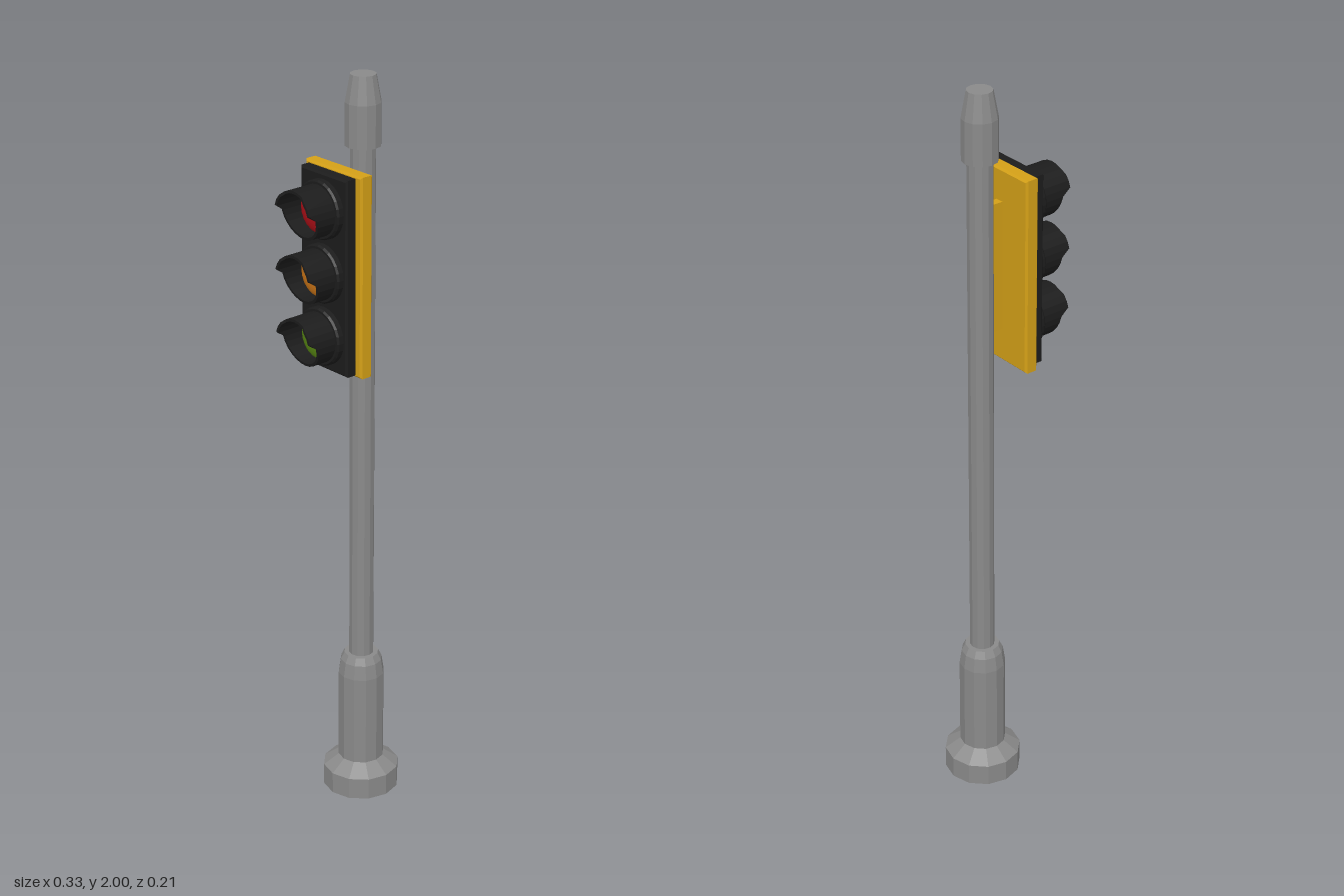
import * as THREE from 'three';

const mat = (color) => new THREE.MeshStandardMaterial({ color, flatShading: true });
const steel = mat(0x8a8a8a);
const yellow = mat(0xd4a017);
const black = mat(0x1c1c1c);

function add(parent, name, geometry, material) {
  const mesh = new THREE.Mesh(geometry, material);
  mesh.name = name;
  parent.add(mesh);
  return mesh;
}

const lathe = (pts, sides) =>
  new THREE.LatheGeometry(pts.map(([r, y]) => new THREE.Vector2(r, y)), sides);

// Bevelled plate in the YZ plane, growing from x0 towards -x
function plate(width, height, depth, bevel, x0, y) {
  const w = width / 2 - bevel, h = height / 2 - bevel;
  const shape = new THREE.Shape([[-w, -h], [w, -h], [w, h], [-w, h]].map(([a, b]) => new THREE.Vector2(a, b)));
  const g = new THREE.ExtrudeGeometry(shape, {
    depth: depth - 2 * bevel, bevelEnabled: true, bevelSize: bevel, bevelThickness: bevel, bevelSegments: 1,
  });
  return g.translate(0, 0, bevel).rotateY(-Math.PI / 2).translate(x0, y, 0);
}

// Front edge of the visor: long hood on top, notched back at the middle, short below
function visorEdge(y) {
  if (y > 0.05) return 0.098;
  if (y > 0.005) return 0.103;
  return 0.079 + 0.24 * Math.min(0, y);
}

function visorGeometry() {
  const g = lathe([[0.066, 0.015], [0.066, 1], [0.059, 1], [0.059, 0.015]], 24).rotateX(Math.PI / 2);
  const p = g.attributes.position;
  for (let i = 0; i < p.count; i++) {
    if (p.getZ(i) > 0.5) p.setZ(i, visorEdge(p.getY(i)));
  }
  g.computeVertexNormals();
  return g;
}

// One lamp, built facing +z
function createLamp(name, color) {
  const lamp = new THREE.Group();
  lamp.name = name;
  add(lamp, 'lampRing', lathe([[0.076, -0.005], [0.076, 0.016], [0.072, 0.021], [0.058, 0.021], [0, 0.021]], 24)
    .rotateX(Math.PI / 2), black);
  add(lamp, 'visor', visorGeometry(), black);
  add(lamp, 'lens', new THREE.SphereGeometry(0.058, 20, 10, 0, Math.PI * 2, 0, Math.PI / 2)
    .scale(1, 0.25, 1).rotateX(Math.PI / 2).translate(0, 0, 0.022), mat(color));
  return lamp;
}

export function createModel() {
  const model = new THREE.Group();
  model.name = 'trafficLight';

  // Post
  const post = new THREE.Group();
  post.name = 'post';
  post.position.x = 0.063;
  model.add(post);
  add(post, 'base', lathe([
    [0, 0], [0.103, 0], [0.103, 0.06], [0.062, 0.09], [0.062, 0.345], [0.056, 0.385], [0.046, 0.405], [0, 0.405],
  ], 12), steel);
  add(post, 'shaft', lathe([[0.033, 0.39], [0.033, 1.83]], 12), steel);
  add(post, 'cap', lathe([[0, 1.82], [0.046, 1.82], [0.046, 1.93], [0.033, 2], [0, 2]], 12), steel);

  // Signal head, facing -x
  const head = new THREE.Group();
  head.name = 'signalHead';
  model.add(head);
  add(head, 'bracket', new THREE.BoxGeometry(0.05, 0.35, 0.022).translate(0.02, 1.52, 0), yellow);
  add(head, 'backboard', plate(0.208, 0.526, 0.038, 0.005, 0.003, 1.518), yellow);
  add(head, 'housing', plate(0.172, 0.513, 0.034, 0.005, -0.033, 1.519), black);

  [['redLamp', 0xb01018], ['amberLamp', 0xd07818], ['greenLamp', 0x5a8a14]].forEach(([name, color], i) => {
    const lamp = createLamp(name, color);
    lamp.rotation.y = -Math.PI / 2;
    lamp.position.set(-0.065, 1.685 - i * 0.166, 0);
    head.add(lamp);
  });

  return model;
}
